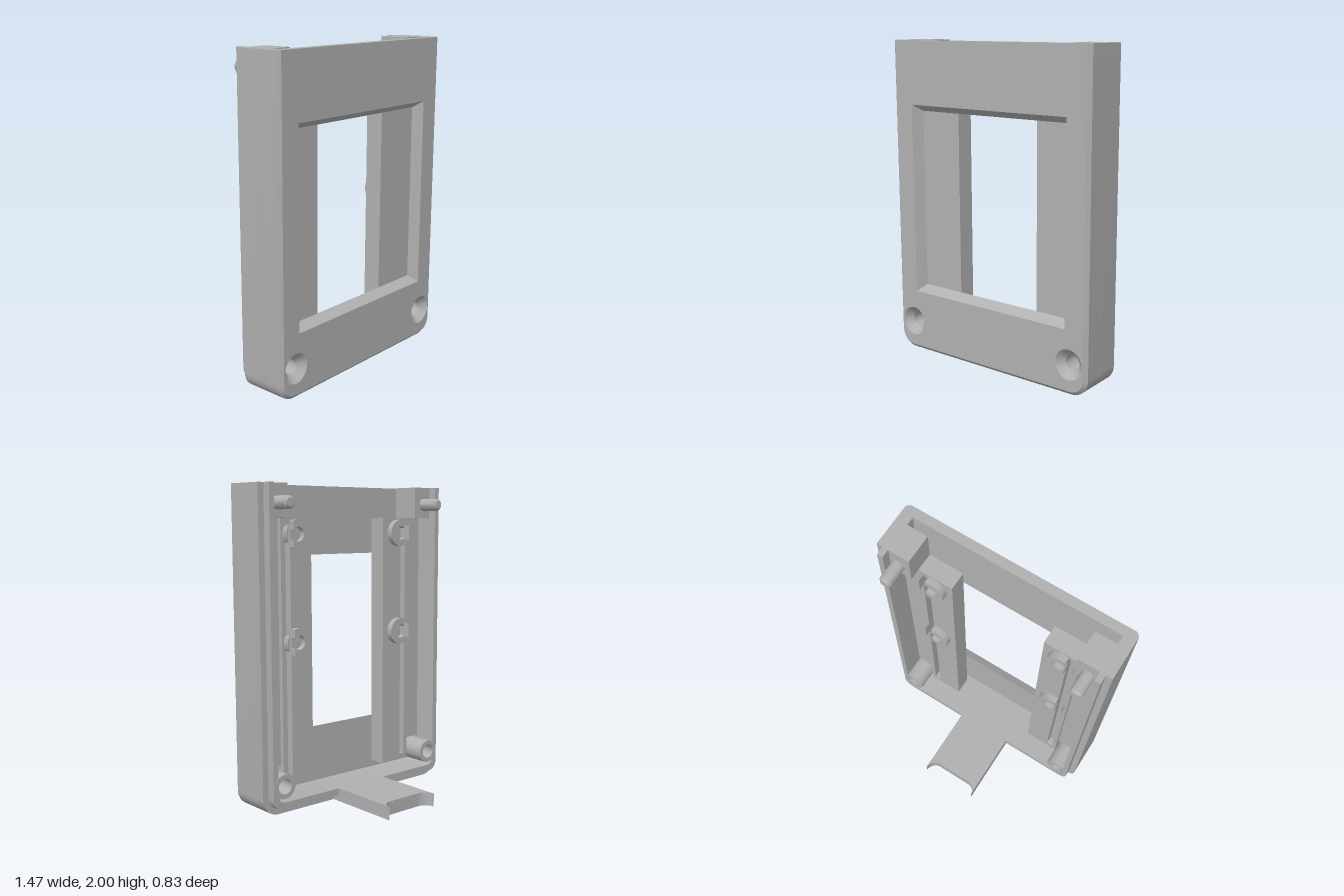
import * as THREE from 'three';
import { toCreasedNormals } from 'three/addons/utils/BufferGeometryUtils.js';

const TOP = 2;
const V = (x, y) => new THREE.Vector2(x, y);

// U-shaped outline, counter-clockwise, square at the top and rounded at the bottom
function outline(hw, y0, r) {
  const pts = [V(-hw, TOP)];
  for (const [cx, start] of [[-hw + r, Math.PI], [hw - r, Math.PI * 1.5]]) {
    for (let i = 0; i <= 8; i++) {
      const a = start + (i / 8) * Math.PI / 2;
      pts.push(V(cx + r * Math.cos(a), y0 + r + r * Math.sin(a)));
    }
  }
  pts.push(V(hw, TOP));
  return pts;
}

const rect = (x0, y0, x1, y1) => [V(x0, y0), V(x1, y0), V(x1, y1), V(x0, y1)];

function circle(cx, cy, r, n = 32) {
  return Array.from({ length: n }, (_, i) =>
    V(cx + r * Math.cos(i / n * Math.PI * 2), cy + r * Math.sin(i / n * Math.PI * 2)));
}

function shapeOf(points, holes = []) {
  const s = new THREE.Shape(points);
  s.holes = holes.map(h => new THREE.Path(h));
  return s;
}

// Wall between two matching loops; inward = true for the walls of holes
function loft(a, za, b, zb, inward = false) {
  const pos = [];
  a.forEach((p, i) => {
    const j = (i + 1) % a.length;
    const q = [[a[i], za], [a[j], za], [b[j], zb], [b[i], zb]];
    const order = inward ? [0, 2, 1, 0, 3, 2] : [0, 1, 2, 0, 2, 3];
    for (const k of order) pos.push(q[k][0].x, q[k][0].y, q[k][1]);
  });
  const g = new THREE.BufferGeometry();
  g.setAttribute('position', new THREE.Float32BufferAttribute(pos, 3));
  return toCreasedNormals(g, 0.5);
}

function extrude(shape, z0, z1) {
  const g = new THREE.ExtrudeGeometry(shape, { depth: z1 - z0, bevelEnabled: false, curveSegments: 20 });
  return toCreasedNormals(g.translate(0, 0, z0), 0.5);
}

function box(x0, x1, y0, y1, z0, z1) {
  return new THREE.BoxGeometry(x1 - x0, y1 - y0, z1 - z0)
    .translate((x0 + x1) / 2, (y0 + y1) / 2, (z0 + z1) / 2);
}

export function createModel() {
  const model = new THREE.Group();
  model.name = 'displayBezel';
  const grey = new THREE.MeshStandardMaterial({ color: 0xb0b0b0, side: THREE.DoubleSide });
  grey.name = 'plastic grey';
  const add = (parent, name, geometry) => {
    const m = new THREE.Mesh(geometry, grey);
    m.name = name;
    parent.add(m);
    return m;
  };

  // Front plate with chamfered rim, bevelled window and countersunk holes
  const plate = new THREE.Group();
  plate.name = 'frontPlate';
  model.add(plate);
  const zBack = 0.355, zRim = 0.395, zFront = 0.415, zSink = 0.37;
  const outer = outline(0.735, 0, 0.11), rim = outline(0.713, 0.022, 0.088);
  const windowFront = rect(-0.583, 0.395, 0.583, 1.605);
  const windowBack = rect(-0.543, 0.435, 0.543, 1.565);
  const holeX = 0.612, holeY = 0.185;
  const sinks = [-1, 1].map(s => circle(s * holeX, holeY, 0.093));
  const bores = [-1, 1].map(s => circle(s * holeX, holeY, 0.048));
  add(plate, 'plateFace', new THREE.ShapeGeometry(shapeOf(rim, [windowFront, ...sinks])).translate(0, 0, zFront));
  const back = new THREE.ShapeGeometry(shapeOf(outer, [windowBack, ...bores]));
  back.index.array.reverse();
  back.computeVertexNormals();
  add(plate, 'plateBack', back.translate(0, 0, zBack));
  add(plate, 'plateEdge', loft(outer, zBack, outer, zRim));
  add(plate, 'plateChamfer', loft(outer, zRim, rim, zFront));
  add(plate, 'windowBevel', loft(windowBack, zBack, windowFront, zFront, true));
  sinks.forEach((sink, i) => {
    add(plate, 'countersink', loft(bores[i], zSink, sink, zFront, true));
    add(plate, 'screwBore', loft(bores[i], zBack, bores[i], zSink, true));
  });

  // U-shaped side and bottom walls, open at the top
  const uWall = (name, out, inn, z0, z1) =>
    add(model, name, extrude(shapeOf([...out, ...inn.slice().reverse()]), z0, z1));
  const inner = outline(0.66, 0.085, 0.05);
  uWall('panelSlotWall', outer, outline(0.66, 0.06, 0.03), 0.30, zBack);
  uWall('shellWall', outer, inner, 0.115, 0.30);
  uWall('rearLip', outline(0.695, 0.04, 0.07), inner, 0.06, 0.115);

  // Bottom tab with a concave end
  const tab = new THREE.Shape();
  tab.moveTo(-0.19, -0.115);
  tab.lineTo(0.19, -0.115);
  tab.lineTo(0.19, 0.415);
  tab.absarc(0.12, 0.415, 0.07, 0, -Math.PI / 2, true);
  tab.absarc(-0.12, 0.415, 0.07, -Math.PI / 2, -Math.PI, true);
  add(model, 'bottomTab', extrude(tab, 0, 0.085).rotateX(-Math.PI / 2));

  // Cups on the rails: a ring cut by the wire groove
  const cx = 0.4275, R = 0.0875, r = 0.045, g0 = 0.46, g1 = 0.50;
  const aOut = Math.acos((g0 - cx) / R), aIn = Math.acos((g0 - cx) / r), aCap = Math.acos((g1 - cx) / R);
  const crescent = new THREE.Shape();
  crescent.absarc(0, 0, R, aOut, 2 * Math.PI - aOut, false);
  crescent.absarc(0, 0, r, 2 * Math.PI - aIn, aIn, true);
  const cap = new THREE.Shape();
  cap.absarc(0, 0, R, -aCap, aCap, false);

  // Fittings on each side, mirrored
  for (const side of [1, -1]) {
    const fit = new THREE.Group();
    fit.name = side > 0 ? 'leftFittings' : 'rightFittings';
    fit.scale.x = side;
    model.add(fit);

    add(fit, 'cornerBlock', box(0.525, 0.67, 1.8, TOP, 0.115, 0.30));
    add(fit, 'railBase', box(0.30, 0.53, 0.13, 1.8, 0.235, 0.30));
    add(fit, 'rail', extrude(shapeOf(rect(0.30, 0.13, 0.53, 1.8), [rect(g0, 0.17, g1, 1.76)]), 0.185, 0.235));
    add(fit, 'railFlange', box(0.53, 0.67, 0.265, 1.8, 0.215, 0.30));
    for (const y of [1.04, 1.70]) {
      add(fit, 'cupCrescent', extrude(crescent, 0.145, 0.185).translate(cx, y, 0));
      add(fit, 'cupCap', extrude(cap, 0.145, 0.185).translate(cx, y, 0));
    }

    // Screw boss and locating pin
    add(fit, 'screwBoss', extrude(shapeOf(circle(holeX, holeY, 0.077), [circle(holeX, holeY, 0.048)]), 0.057, zBack));
    const pin = new THREE.LatheGeometry(
      [V(0, 0), V(0.04, 0), V(0.04, 0.125), V(0.026, 0.14), V(0, 0.14)], 24);
    add(fit, 'locatingPin', toCreasedNormals(pin, 0.5).rotateX(-Math.PI / 2).translate(0.605, 1.885, 0.115));
  }
  return model;
}
